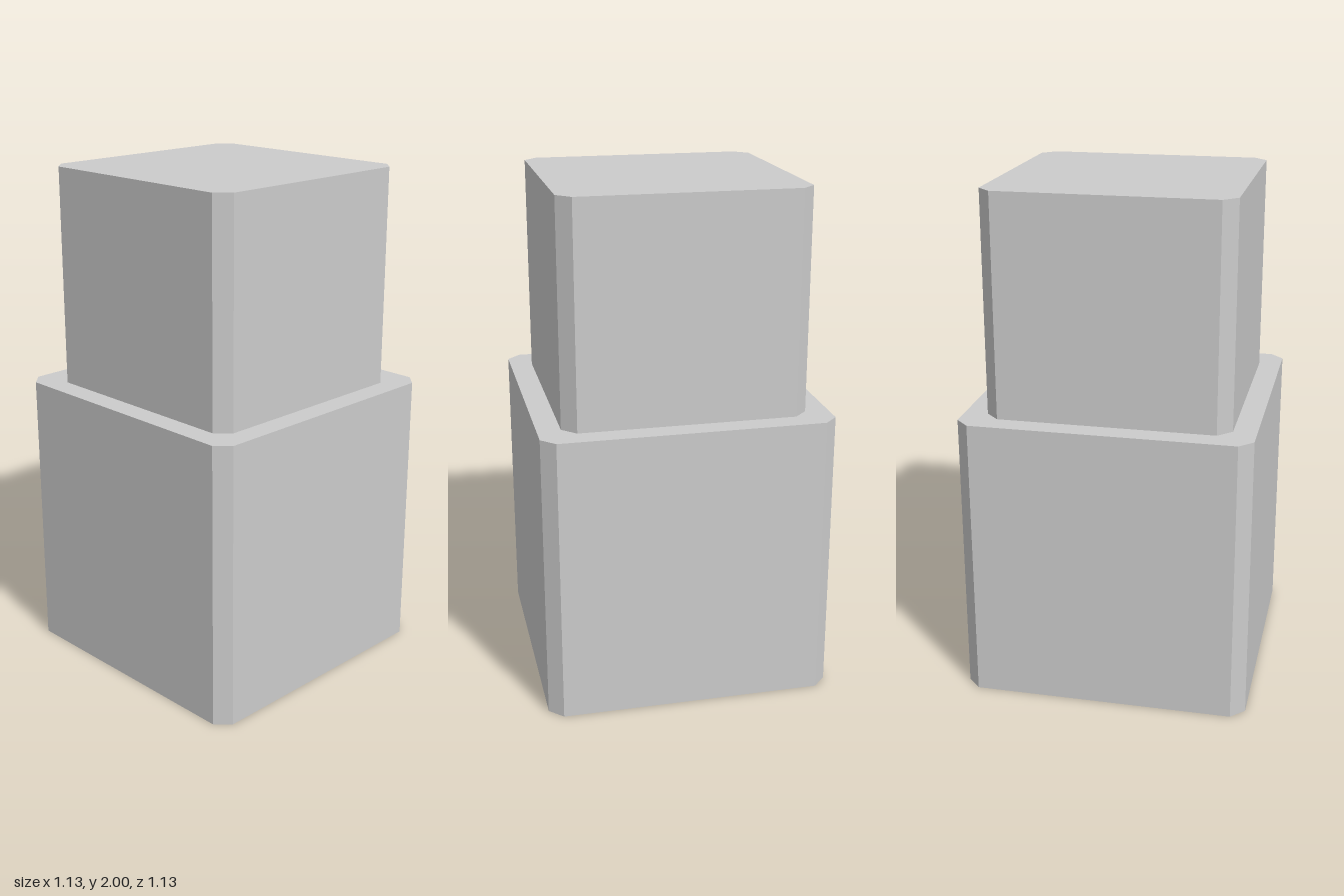
import * as THREE from 'three';

const material = new THREE.MeshStandardMaterial({ color: 0xcccccc, flatShading: true });

// Square block with chamfered vertical edges, standing on y = bottom
function chamferedBlock(name, half, chamfer, bottom, top) {
  const inner = half - chamfer;
  const shape = new THREE.Shape([
    [half, -inner], [half, inner], [inner, half], [-inner, half],
    [-half, inner], [-half, -inner], [-inner, -half], [inner, -half],
  ].map(([x, y]) => new THREE.Vector2(x, y)));
  const geometry = new THREE.ExtrudeGeometry(shape, { depth: top - bottom, bevelEnabled: false });
  geometry.rotateX(-Math.PI / 2);
  const mesh = new THREE.Mesh(geometry, material);
  mesh.name = name;
  mesh.position.y = bottom;
  return mesh;
}

export function createModel() {
  const model = new THREE.Group();
  model.name = 'steppedPillar';
  model.add(chamferedBlock('lowerBlock', 0.565, 0.053, 0, 1.132));
  model.add(chamferedBlock('upperBlock', 0.474, 0.053, 1.132, 2));
  return model;
}
